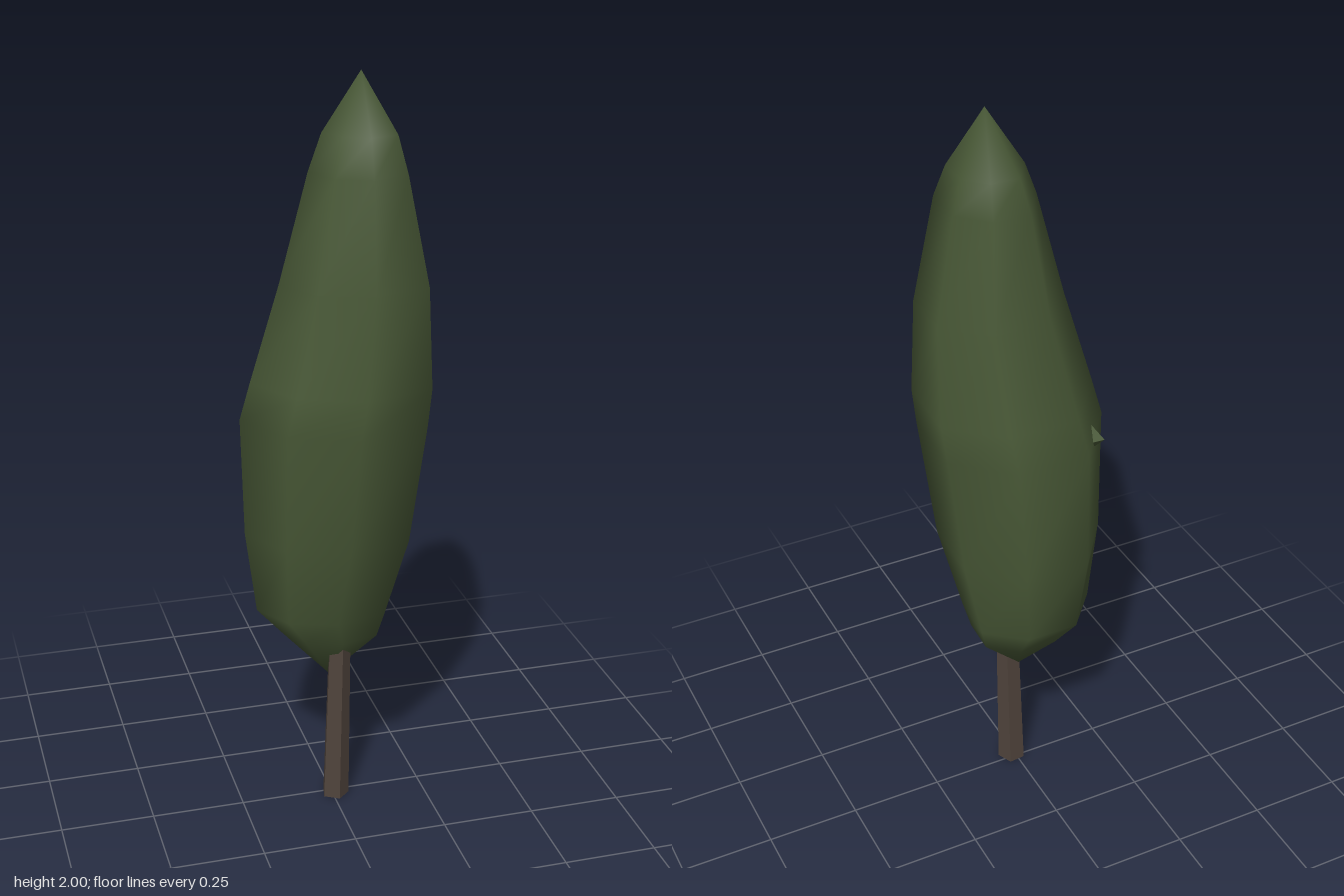
import * as THREE from 'three';
import { mergeVertices } from 'three/addons/utils/BufferGeometryUtils.js';

// Irregular outline shared by all crown sections, in -1..1 on x and z
const OUTLINE = [[-1, -0.15], [-0.45, -1], [0.4, -1], [1, -0.35], [0.96, 0.72], [0.13, 1], [-0.62, 0.65]];

// Crown sections: y, x min, x max, z min, z max
const SECTIONS = [
  [0.36, 0, 0, -0.015, -0.015],
  [0.49, -0.125, 0.12, -0.12, 0.07],
  [0.56, -0.19, 0.14, -0.16, 0.09],
  [0.79, -0.22, 0.19, -0.2, 0.155],
  [1.12, -0.233, 0.222, -0.193, 0.2],
  [1.22, -0.207, 0.232, -0.175, 0.197],
  [1.48, -0.135, 0.222, -0.115, 0.173],
  [1.76, -0.062, 0.167, -0.08, 0.145],
  [1.85, -0.025, 0.15, -0.067, 0.1],
  [2, 0.068, 0.068, 0.025, 0.025],
];

// Skin the outline through the sections; the end sections shrink to points
function loft(sections, outline) {
  const n = outline.length;
  const positions = [];
  const index = [];
  for (const [y, x0, x1, z0, z1] of sections) {
    for (const [u, v] of outline) {
      positions.push((x0 + x1) / 2 + u * (x1 - x0) / 2, y, (z0 + z1) / 2 + v * (z1 - z0) / 2);
    }
  }
  for (let i = 0; i < sections.length - 1; i++) {
    for (let j = 0; j < n; j++) {
      const a = i * n + j;
      const b = i * n + (j + 1) % n;
      if (i > 0) index.push(b, a, a + n);
      if (i < sections.length - 2) index.push(b, a + n, b + n);
      else if (i === 0) index.push(b, a + n, b + n);
    }
  }
  const geometry = new THREE.BufferGeometry();
  geometry.setAttribute('position', new THREE.Float32BufferAttribute(positions, 3));
  geometry.setIndex(index);
  const merged = mergeVertices(geometry);
  merged.computeVertexNormals();
  return merged;
}

export function createModel() {
  const tree = new THREE.Group();
  tree.name = 'cypressTree';
  const leaves = new THREE.MeshStandardMaterial({ color: 0x485836 });
  const bark = new THREE.MeshStandardMaterial({ color: 0x50443c, flatShading: true });

  const add = (name, geometry, material) => {
    const mesh = new THREE.Mesh(geometry, material);
    mesh.name = name;
    tree.add(mesh);
    return mesh;
  };

  // Tall, slightly leaning crown
  add('crown', loft(SECTIONS, OUTLINE), leaves);

  // Small tuft poking out of the back of the crown
  const tuft = add('tuft', mergeVertices(new THREE.OctahedronGeometry(0.04).deleteAttribute('uv')), leaves);
  tuft.position.set(-0.15, 1.12, -0.115);
  tuft.rotation.y = 0.75;

  // Five-sided trunk, sheared so it follows the lean of the crown
  const trunk = new THREE.CylinderGeometry(0.03, 0.038, 0.55, 5);
  trunk.rotateY(0.1);
  trunk.translate(0, 0.275, 0);
  const p = trunk.attributes.position;
  for (let i = 0; i < p.count; i++) {
    p.setX(i, p.getX(i) + 0.008 + p.getY(i) * 0.02);
    p.setZ(i, p.getZ(i) + 0.014 + p.getY(i) * 0.01);
  }
  trunk.computeVertexNormals();
  add('trunk', trunk, bark);

  return tree;
}
